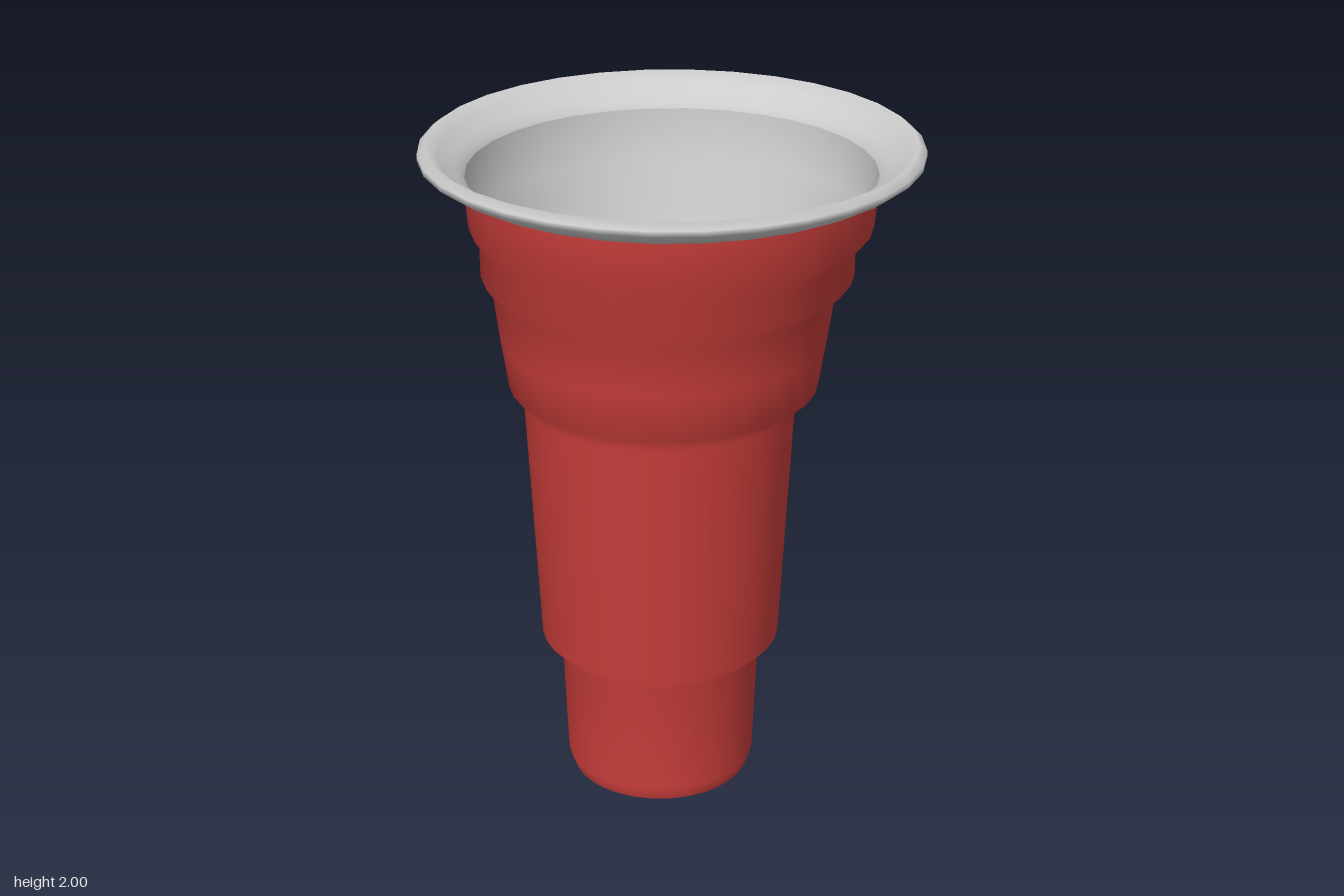
import * as THREE from 'three';

const SIDES = 32;

// Wall rings: radius, height, and how far the ring's centre sits towards the front
const RINGS = [
  [0.27, 0, 0.05], [0.286, 0.045, 0.05], [0.30, 0.40, 0.05], [0.36, 0.46, 0.05],
  [0.40, 1.225, 0.05], [0.455, 1.275, 0.034], [0.477, 1.42, 0.033], [0.498, 1.57, 0.031],
  [0.54, 1.615, 0.018], [0.541, 1.715, 0.018], [0.582, 1.76, 0.003], [0.596, 1.91, 0],
];

// Revolve a profile of [radius, height, z offset], then slide each ring off the axis
function revolve(profile) {
  const geo = new THREE.LatheGeometry(profile.map(([r, y]) => new THREE.Vector2(r, y)), SIDES);
  const pos = geo.attributes.position;
  for (let i = 0; i < pos.count; i++) {
    const dz = profile[i % profile.length][2] || 0;
    pos.setZ(i, pos.getZ(i) + dz);
    pos.setX(i, pos.getX(i) - dz * 0.14);
  }
  return geo;
}

export function createModel() {
  const group = new THREE.Group();
  const red = new THREE.MeshStandardMaterial({ color: 0xcc3f3c });
  const grey = new THREE.MeshStandardMaterial({ color: 0xcccccc });
  const add = (name, geo, mat) => {
    const mesh = new THREE.Mesh(geo, mat);
    mesh.name = name;
    group.add(mesh);
    return mesh;
  };

  // Stepped cup wall: coloured outside, plain inside
  add('outerWall', revolve(RINGS), red);
  const inner = RINGS.map(([r, y, z]) => [r - 0.006, Math.max(y, 0.006), z]).reverse();
  add('innerWall', revolve(inner), grey);

  // Closed bottom
  const base = add('base', new THREE.CircleGeometry(0.27, SIDES), red);
  base.rotation.x = Math.PI / 2;
  base.position.set(-0.007, 0, 0.05);
  const floor = add('floor', new THREE.CircleGeometry(0.266, SIDES), grey);
  floor.rotation.x = -Math.PI / 2;
  floor.position.set(-0.007, 0.006, 0.05);

  // Flared rim: underside, rolled edge, funnel back into the cup
  add('rim', revolve([
    [0.592, 1.908], [0.65, 1.922], [0.69, 1.942], [0.722, 1.965], [0.722, 1.982],
    [0.70, 2.0], [0.665, 1.972], [0.625, 1.945], [0.60, 1.925], [0.59, 1.908],
  ]), grey);

  return group;
}
